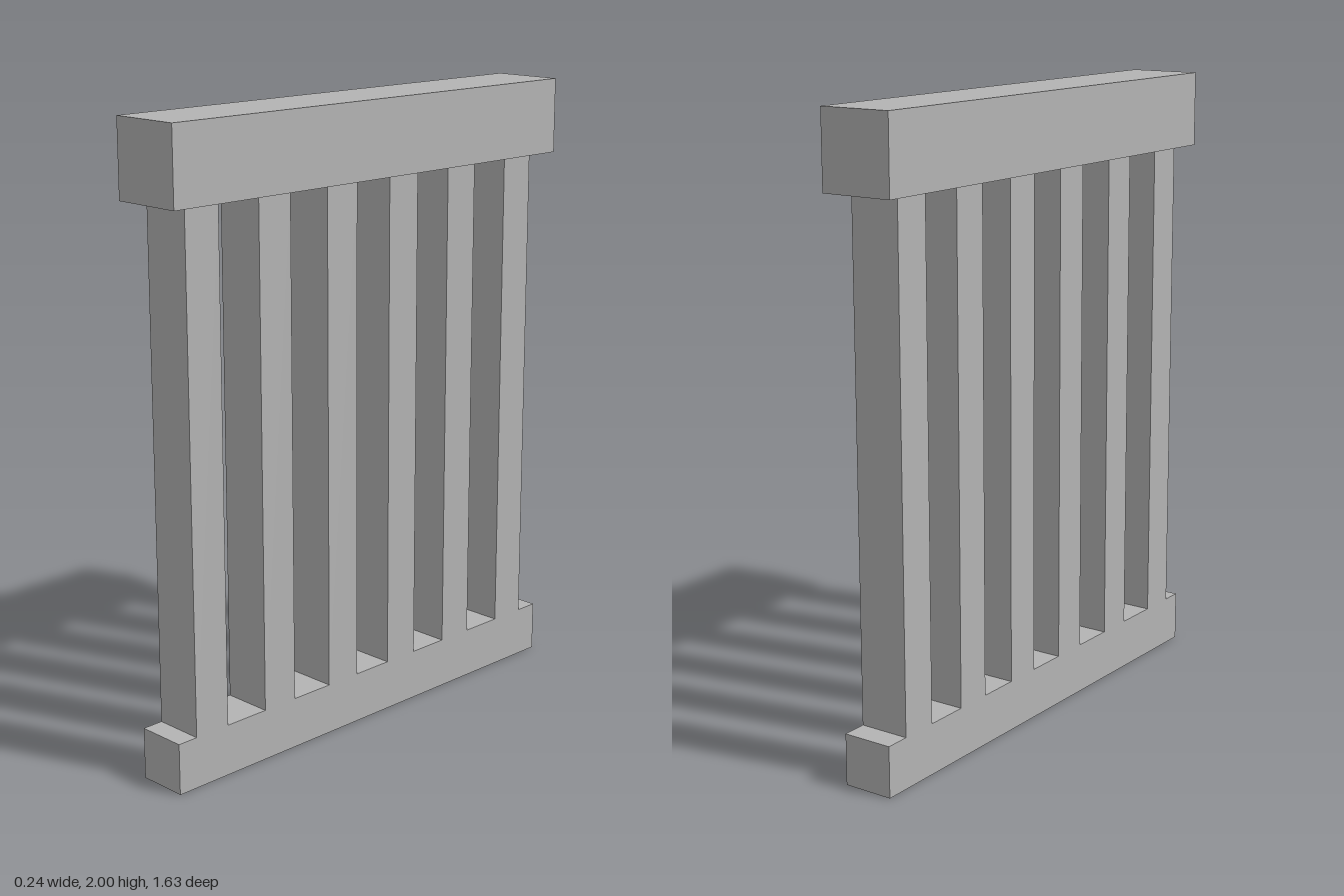
import * as THREE from 'three';

export function createModel() {
  const model = new THREE.Group();
  model.name = 'balustrade';

  const stone = new THREE.MeshStandardMaterial({ color: 0xb4b4b4 });
  stone.name = 'grey stone';

  const BASE_TOP = 0.163;
  const RAIL_BOTTOM = 1.76;
  const LENGTH = 1.626;
  const THICKNESS = 0.164;

  // Box spanning y0..y1, centred on x = 0 and the given z
  function block(name, width, y0, y1, depth, z = 0) {
    const mesh = new THREE.Mesh(new THREE.BoxGeometry(width, y1 - y0, depth), stone);
    mesh.position.set(0, (y0 + y1) / 2, z);
    mesh.name = name;
    model.add(mesh);
  }

  // Wide handrail on top, narrower rail at the foot
  block('handrail', 0.238, RAIL_BOTTOM, 2, LENGTH);
  block('baseRail', THICKNESS, 0, BASE_TOP, LENGTH);

  // Square balusters, slightly unevenly spaced from front to back
  [0.682, 0.404, 0.129, -0.137, -0.401, -0.671].forEach((z, i) =>
    block(`baluster${i + 1}`, THICKNESS, BASE_TOP, RAIL_BOTTOM, 0.125, z));

  return model;
}
